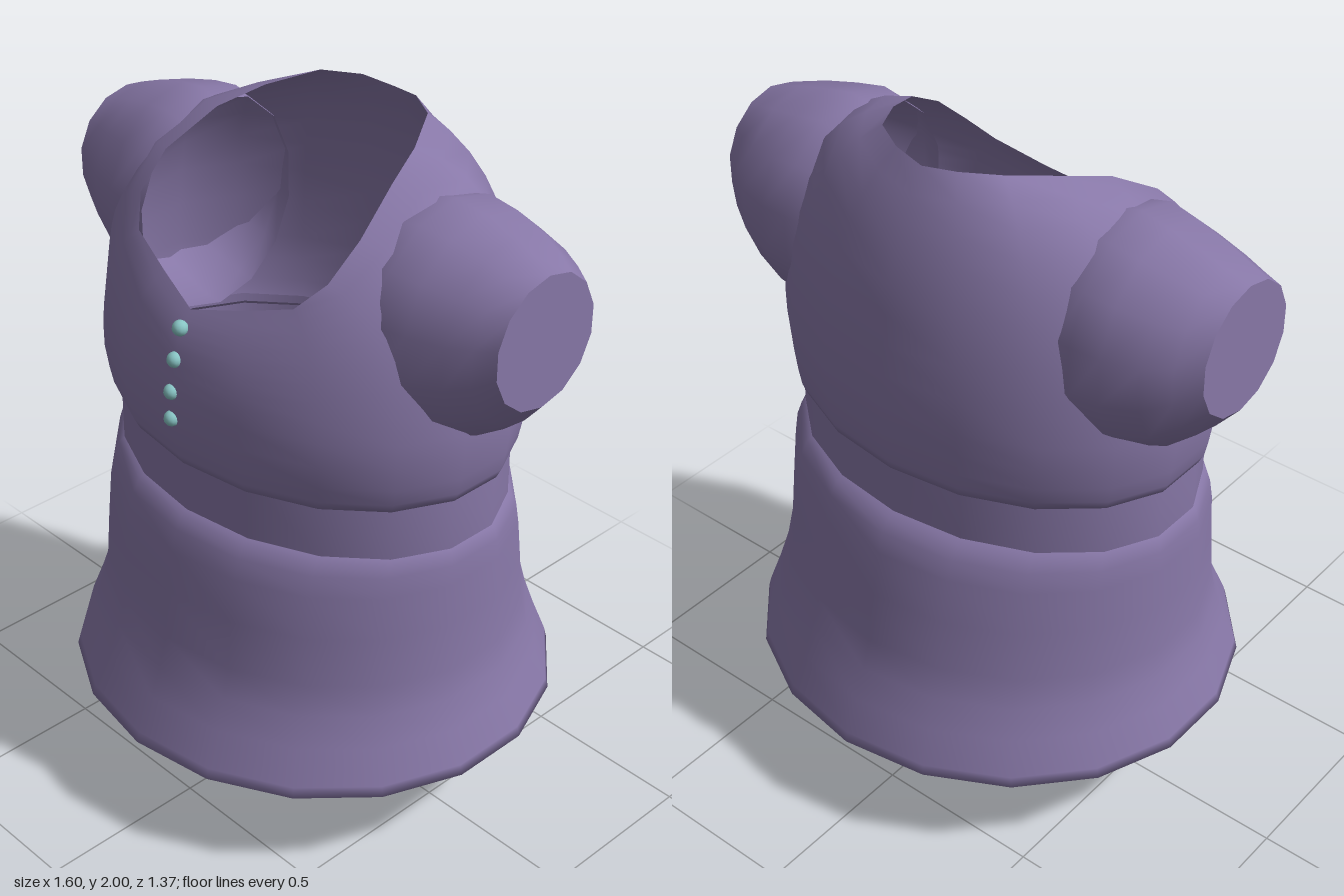
import * as THREE from 'three';

const SIDES = 18;
const V = (x, y, z) => new THREE.Vector3(x, y, z);
const cloth = new THREE.MeshStandardMaterial({ color: 0x8878a8, side: THREE.DoubleSide });
const pearl = new THREE.MeshStandardMaterial({ color: 0x88c4c4 });

// Smooth skin over closed rings that all have the same number of points
function loft(name, rings) {
  const n = rings[0].length, index = [];
  for (let r = 0; r < rings.length - 1; r++) {
    for (let i = 0; i < n; i++) {
      const j = (i + 1) % n, a = r * n, b = a + n;
      index.push(a + i, a + j, b + i, a + j, b + j, b + i);
    }
  }
  const geo = new THREE.BufferGeometry().setFromPoints(rings.flat());
  geo.setIndex(index);
  geo.computeVertexNormals();
  const mesh = new THREE.Mesh(geo, cloth);
  mesh.name = name;
  return mesh;
}

// Level oval ring with its own front and back depth, starting at the front
function ring([y, rx, front, back]) {
  return Array.from({ length: SIDES }, (_, i) => {
    const a = (i / SIDES) * Math.PI * 2, c = Math.cos(a);
    return V(rx * Math.sin(a), y, c * (c > 0 ? front : back));
  });
}

// Neck opening: one half from front to back, mirrored to a full ring
const neckHalf = [
  [0, 1.59, 0.43], [0.15, 1.63, 0.39], [0.3, 1.68, 0.35], [0.36, 1.75, 0.29], [0.37, 1.84, 0.19],
  [0.33, 1.93, 0.04], [0.28, 1.97, -0.09], [0.2, 2, -0.22], [0.1, 2, -0.28], [0, 1.99, -0.3],
];
function neckRing() {
  return Array.from({ length: SIDES }, (_, i) => {
    const [x, y, z] = neckHalf[i <= 9 ? i : SIDES - i];
    return V(i <= 9 ? x : -x, y, z);
  });
}

// Bodice: rounded lower edge, chest, then a curve over the shoulders to the neck
function bodice() {
  const rings = [
    [1.16, 0.61, 0.46, 0.44], [1.14, 0.63, 0.475, 0.455], [1.17, 0.645, 0.49, 0.465],
    [1.22, 0.655, 0.5, 0.472], [1.29, 0.665, 0.51, 0.478], [1.36, 0.665, 0.51, 0.48],
  ].map(ring);
  const chest = rings[rings.length - 1], neck = neckRing();
  const curves = chest.map((p, i) => {
    const s = Math.sin((i / SIDES) * Math.PI * 2);
    const y = THREE.MathUtils.lerp(p.y, neck[i].y, 0.6 + 0.4 * s * s);
    return new THREE.QuadraticBezierCurve3(p, V(p.x * 0.97, y, p.z * 0.98), neck[i]);
  });
  for (let k = 1; k <= 8; k++) rings.push(curves.map((c) => c.getPoint(k / 8)));
  return loft('bodice', rings);
}

// Sleeve sections along x: [x, bottom, top, back, front]
const sleeveSections = [
  [0.42, 1.27, 1.905, -0.31, 0.25], [0.48, 1.27, 1.92, -0.325, 0.26], [0.57, 1.29, 1.905, -0.32, 0.24],
  [0.67, 1.33, 1.88, -0.29, 0.21], [0.74, 1.39, 1.855, -0.25, 0.18], [0.8, 1.46, 1.83, -0.205, 0.155],
];
function sleeve(side, label) {
  const section = ([x, y0, y1, z0, z1]) => Array.from({ length: 14 }, (_, i) => {
    const a = (i / 14) * Math.PI * 2;
    return V(side * x, (y0 + y1) / 2 + (y1 - y0) / 2 * Math.cos(a), (z0 + z1) / 2 + (z1 - z0) / 2 * Math.sin(a));
  });
  const rings = sleeveSections.map(section);
  const end = rings[rings.length - 1];
  const cap = [end.map((p) => p.clone()), end.map(() => V(side * 0.8, 1.645, -0.025))];
  if (side < 0) { rings.reverse(); cap.reverse(); }
  const group = new THREE.Group();
  group.name = label;
  group.add(loft('sleeveTube', rings), loft('sleeveEnd', cap));
  return group;
}

export function createModel() {
  const model = new THREE.Group();
  model.name = 'top';

  // Inner body: waistband above, rounded bowl below
  model.add(loft('innerBody', [
    [0, 0, 0, 0], [0.025, 0.18, 0.17, 0.17], [0.08, 0.33, 0.31, 0.31], [0.17, 0.44, 0.41, 0.41],
    [0.28, 0.505, 0.475, 0.475], [0.42, 0.55, 0.5, 0.5], [0.6, 0.58, 0.49, 0.49], [0.8, 0.605, 0.47, 0.46],
    [0.98, 0.625, 0.47, 0.45], [1.18, 0.625, 0.468, 0.447],
  ].map(ring)));

  // Skirt: folded hem, flare, and rounded upper edge
  model.add(loft('skirt', [
    [0.5, 0.645, 0.57, 0.57], [0.305, 0.72, 0.665, 0.665], [0.29, 0.738, 0.685, 0.685],
    [0.32, 0.73, 0.675, 0.678], [0.42, 0.695, 0.625, 0.635], [0.51, 0.668, 0.59, 0.6],
    [0.6, 0.655, 0.563, 0.57], [0.75, 0.648, 0.548, 0.545], [0.88, 0.645, 0.53, 0.515],
    [0.94, 0.641, 0.51, 0.497], [0.975, 0.634, 0.49, 0.47], [0.99, 0.62, 0.467, 0.447],
  ].map(ring)));

  model.add(bodice(), sleeve(1, 'leftSleeve'), sleeve(-1, 'rightSleeve'));

  // Buttons down the chest
  [[1.55, 0.468], [1.465, 0.49], [1.375, 0.505], [1.295, 0.508]].forEach(([y, z]) => {
    const button = new THREE.Mesh(new THREE.SphereGeometry(0.022, 12, 8), pearl);
    button.name = 'button';
    button.position.set(0, y, z);
    model.add(button);
  });
  return model;
}
